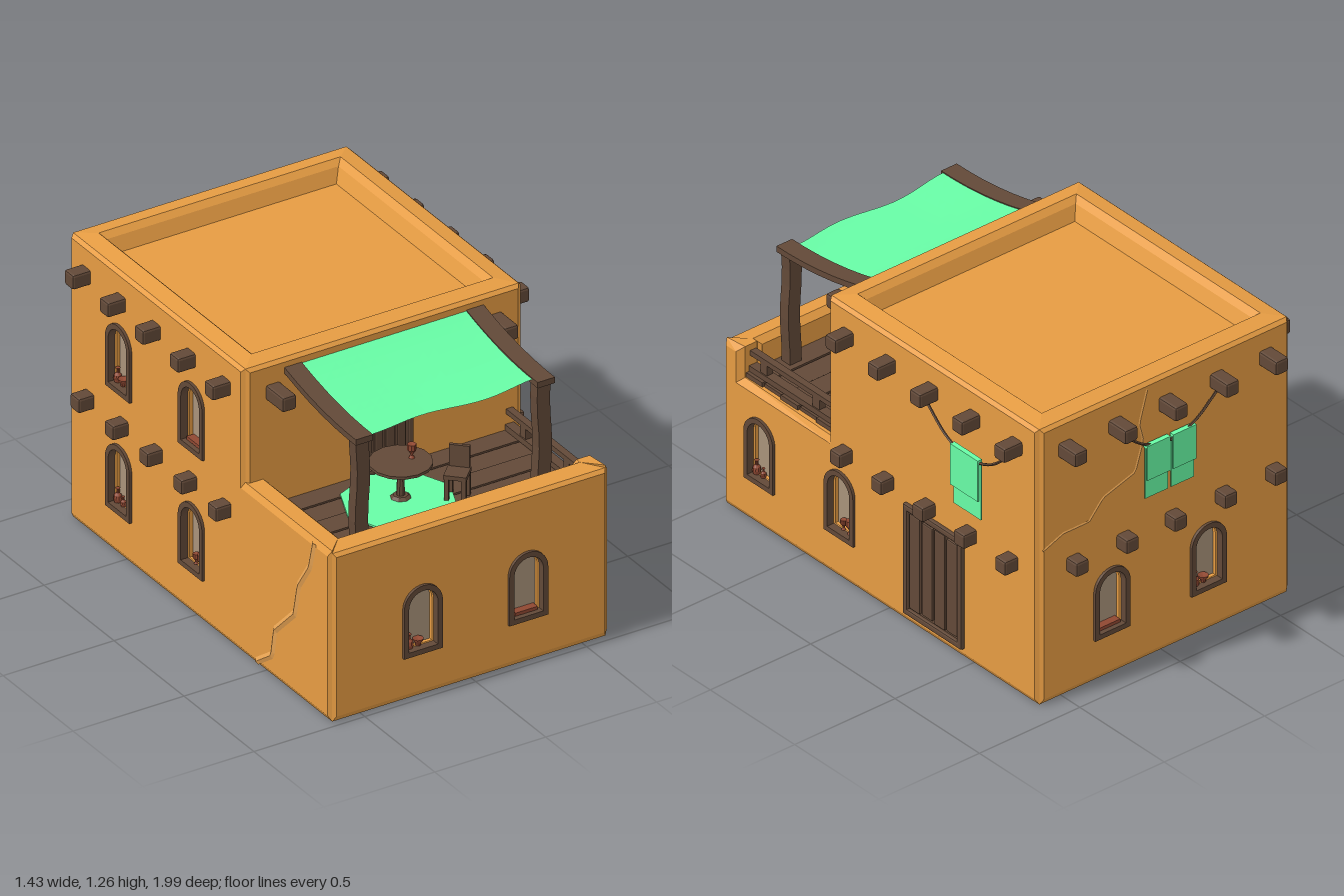
import * as THREE from 'three';
import { RoundedBoxGeometry } from 'three/addons/geometries/RoundedBoxGeometry.js';

const mat = (color, side = THREE.FrontSide) => new THREE.MeshStandardMaterial({ color, side, flatShading: true });
const WALL = mat(0xe69c43), SLOPE = mat(0xe69c43, THREE.BackSide), WOOD = mat(0x624938), CLAY = mat(0x8f4832);
const PANE = mat(0xa8927a), CRACK = mat(0xeba655), CLOTH = mat(0x68fca6, THREE.DoubleSide);
const BEVEL = 0.025, THICK = 0.11, FLOOR = 0.63;

function add(parent, name, geo, material, x = 0, y = 0, z = 0) {
  const m = new THREE.Mesh(geo, material);
  m.name = name;
  m.position.set(x, y, z);
  parent.add(m);
  return m;
}
// box given by its minimum and maximum corners
function block(parent, name, material, a, b) {
  const s = b.map((v, i) => v - a[i]);
  return add(parent, name, new THREE.BoxGeometry(...s), material, ...a.map((v, i) => v + s[i] / 2));
}
const v3 = (p) => new THREE.Vector3(p[0], p[1], p[2] || 0);

// arched outline: centre u, bottom y, top y, half width
function arch(T, u, y0, y1, r) {
  const s = new T();
  s.moveTo(u - r, y0);
  s.lineTo(u + r, y0);
  s.lineTo(u + r, y1 - r);
  s.absarc(u, y1 - r, r, 0, Math.PI, false);
  s.lineTo(u - r, y0);
  return s;
}

// wall slab with chamfered edges and arched openings; outer face at local z = 0
// ends: [u, direction, lowest y] of the upright edges that are mitred against the next wall
function wall(face, name, pts, ends, windows = []) {
  const s = new THREE.Shape(pts.map((p) => new THREE.Vector2(...p)));
  windows.forEach(([u, y]) => s.holes.push(arch(THREE.Path, u, y + 0.025, y + 0.275, 0.06)));
  const geo = new THREE.ExtrudeGeometry(s, {
    depth: THICK - 2 * BEVEL, bevelEnabled: true, bevelSize: BEVEL, bevelThickness: BEVEL,
    bevelOffset: -BEVEL, bevelSegments: 1, curveSegments: 10,
  });
  geo.translate(0, 0, BEVEL - THICK);
  const p = geo.attributes.position, top = Math.max(...pts.map((q) => q[1]));
  for (let i = 0; i < p.count; i++) {
    const u = p.getX(i), y = p.getY(i), z = p.getZ(i);
    const end = ends.find((e) => Math.abs(u - e[0]) < BEVEL + 0.001 && y >= e[2]);
    if (!end || z > -0.001) continue;
    const outer = z > -BEVEL - 0.001, d = outer ? 0.0145 : -z;
    p.setXYZ(i, end[0] - end[1] * d, outer && y > top - 0.001 ? y - 0.011 : y, -d);
  }
  geo.computeVertexNormals();
  add(face, name, geo, WALL);
  windows.forEach(([u, y, kind]) => windowFrame(face, u, y, kind));
}

const profiles = {
  bottle: [[0, 0], [0.014, 0], [0.018, 0.015], [0.015, 0.03], [0.006, 0.04], [0.006, 0.055], [0.01, 0.06], [0, 0.06]],
  bowl: [[0, 0], [0.011, 0], [0.013, 0.012], [0.022, 0.026], [0.022, 0.03], [0, 0.024]],
  goblet: [[0, 0], [0.012, 0], [0.005, 0.012], [0.008, 0.022], [0.018, 0.035], [0.018, 0.06], [0, 0.055]],
};
function pot(parent, kind, x, y, z, scale = 1) {
  const geo = new THREE.LatheGeometry(profiles[kind].map((p) => new THREE.Vector2(...p)), 10);
  add(parent, kind, geo, CLAY, x, y, z).scale.setScalar(scale);
}

function windowFrame(face, u, y, kind) {
  const s = arch(THREE.Shape, u, y, y + 0.3, 0.087);
  s.holes.push(arch(THREE.Path, u, y + 0.022, y + 0.277, 0.065));
  add(face, 'windowFrame', new THREE.ExtrudeGeometry(s, { depth: 0.034, bevelEnabled: false, curveSegments: 10 }),
    WOOD, 0, 0, -0.022);
  const sill = y + 0.025, w = -0.02;
  if (kind === 'tray') block(face, 'tray', CLAY, [u - 0.05, sill, -0.038], [u + 0.05, sill + 0.014, -0.005]);
  else if (kind === 'goblets') {
    pot(face, 'goblet', u - 0.005, sill, w, 0.75);
    pot(face, 'goblet', u + 0.035, sill, w);
  } else {
    pot(face, 'bottle', u - 0.045, sill, w);
    pot(face, kind === 'bottles' ? 'bottle' : 'bowl', u - 0.005, sill, w, kind === 'bottles' ? 0.7 : 1);
  }
}

function beams(face, us, y, out) {
  us.forEach((u) => add(face, 'roofBeam', new RoundedBoxGeometry(0.064, 0.064, out + 0.06, 1, 0.01), WOOD, u, y, (out - 0.06) / 2));
}

function door(face, u, y0, y1, width, planks) {
  const g = new THREE.Group();
  g.name = 'door';
  face.add(g);
  const h = y1 - y0, f = 0.028, step = (width - 2 * f) / planks;
  [-1, 1].forEach((s) => add(g, 'doorJamb', new RoundedBoxGeometry(f, h, 0.036, 1, 0.008), WOOD, u + s * (width - f) / 2, (y0 + y1) / 2, 0));
  [y0 + f / 2, y1 - f / 2].forEach((y) => add(g, 'doorRail', new RoundedBoxGeometry(width, f, 0.036, 1, 0.008), WOOD, u, y, 0));
  block(g, 'doorBacking', WOOD, [u - width / 2 + 0.01, y0 + 0.01, -0.01], [u + width / 2 - 0.01, y1 - 0.01, 0.002]);
  for (let i = 0; i < planks; i++) {
    add(g, 'doorPlank', new RoundedBoxGeometry(step - 0.01, h - 2 * f - 0.012 * (i % 2 + 1), 0.022, 1, 0.006), WOOD,
      u - width / 2 + f + step * (i + 0.5), (y0 + y1) / 2, 0);
  }
}

// rope hung between two beams at distance w from the wall, with folded cloths over it
function clothesline(face, u0, u1, w, cloths) {
  const mid = (u0 + u1) / 2;
  const pts = [0, 0.25, 0.5, 0.75, 1].map((t) => v3([u0 + (u1 - u0) * t, 1.1 - 0.56 * t * (1 - t), w]));
  add(face, 'clothesline', new THREE.TubeGeometry(new THREE.CatmullRomCurve3(pts), 20, 0.006, 5), WOOD);
  cloths.forEach(([du, width, y0]) => {
    const a = mid + du - width / 2, b = mid + du + width / 2;
    block(face, 'clothFront', CLOTH, [a, y0 + 0.09, w + 0.005], [b, 0.98, w + 0.011]);
    block(face, 'clothBack', CLOTH, [a + 0.003, y0, w - 0.011], [b, 0.98, w - 0.005]);
    block(face, 'clothFold', CLOTH, [a, 0.973, w - 0.011], [b, 0.985, w + 0.011]);
  });
}

function crack(face, radius, pts) {
  const path = new THREE.CurvePath();
  for (let i = 1; i < pts.length; i++) path.add(new THREE.LineCurve3(v3(pts[i - 1]), v3(pts[i])));
  add(face, 'wallCrack', new THREE.TubeGeometry(path, 40, radius, 4), CRACK).scale.z = 0.5;
}

const awningY = (z) => 1.13 + 0.07 * Math.pow(1 - (z - 0.36) / 0.5, 2);

function awning(root) {
  const cloth = new THREE.PlaneGeometry(0.78, 0.5, 16, 12).rotateX(-Math.PI / 2);
  const p = cloth.attributes.position;
  for (let i = 0; i < p.count; i++) {
    const x = p.getX(i), s = p.getZ(i) / 0.5 + 0.5, z = 0.36 + 0.5 * s;
    p.setXYZ(i, x - 0.01, awningY(z) + 0.008 - 0.006 * Math.cos(x * 4) * s, z - s * s * 0.015 * (1 + Math.sin(x * 12 + 3)));
  }
  cloth.computeVertexNormals();
  add(root, 'awningCloth', cloth, CLOTH);
  // curved side beams
  const zs = [0.36, 0.45, 0.54, 0.63, 0.72, 0.8, 0.87];
  const side = new THREE.Shape([...zs.map((z) => new THREE.Vector2(-z, awningY(z) + 0.012)),
    ...zs.slice().reverse().map((z) => new THREE.Vector2(-z, awningY(z) - 0.014))]);
  [-0.42, 0.4].forEach((x, k) => {
    const beam = new THREE.ExtrudeGeometry(side, { depth: 0.078, bevelEnabled: false }).rotateY(Math.PI / 2);
    add(root, 'awningBeam', beam, WOOD, x - 0.039);
    // slightly crooked posts
    const post = new THREE.BoxGeometry(0.058, 0.52, 0.05, 1, 7, 1), q = post.attributes.position;
    for (let i = 0; i < q.count; i++) q.setX(i, q.getX(i) + 0.005 * Math.sin(q.getY(i) * 16 + k * 2));
    post.computeVertexNormals();
    add(root, 'awningPost', post, WOOD, x + 0.005, 0.87, 0.825);
  });
}

function terrace(root) {
  for (let i = 0; i < 5; i++) {
    block(root, 'floorPlank', WOOD, [-0.54, 0.59, 0.355 + i * 0.105], [0.59 - (i % 2) * 0.008, FLOOR - (i % 2) * 0.004, 0.455 + i * 0.105]);
  }
  // low railing on the open side
  block(root, 'railing', WOOD, [0.54, 0.7, 0.35], [0.57, 0.722, 0.88]);
  block(root, 'railing', WOOD, [0.535, FLOOR, 0.35], [0.575, 0.655, 0.88]);
  [0.46, 0.77].forEach((z) => block(root, 'railingPost', WOOD, [0.54, FLOOR, z], [0.57, 0.71, z + 0.04]));
  add(root, 'rug', new THREE.CylinderGeometry(0.23, 0.23, 0.008, 8), CLOTH, -0.1, FLOOR + 0.004, 0.61);
  // table
  add(root, 'tableTop', new THREE.CylinderGeometry(0.125, 0.125, 0.012, 14), WOOD, -0.08, 0.79, 0.59);
  add(root, 'tableLeg', new THREE.CylinderGeometry(0.012, 0.018, 0.16, 8), WOOD, -0.08, 0.71, 0.59);
  add(root, 'tableFoot', new THREE.CylinderGeometry(0.03, 0.045, 0.016, 8), WOOD, -0.08, 0.642, 0.59);
  pot(root, 'goblet', -0.03, 0.796, 0.59);
  // chair
  const chair = new THREE.Group();
  chair.name = 'chair';
  chair.position.set(0.106, FLOOR, 0.7);
  chair.rotation.y = Math.PI / 4;
  root.add(chair);
  block(chair, 'chairSeat', WOOD, [-0.045, 0.1, -0.045], [0.045, 0.118, 0.045]);
  block(chair, 'chairBack', WOOD, [0.034, 0.118, -0.04], [0.048, 0.212, 0.04]);
  for (const x of [-0.034, 0.034]) for (const z of [-0.034, 0.034]) {
    block(chair, 'chairLeg', WOOD, [x - 0.009, 0, z - 0.009], [x + 0.009, 0.1, z + 0.009]);
  }
}

export function createModel() {
  const root = new THREE.Group();
  root.name = 'house';
  // one local frame per wall: x along the wall, y up, z outward
  const face = (name, angle, x, z) => {
    const g = new THREE.Group();
    g.name = name;
    g.rotation.y = angle;
    g.position.set(x, 0, z);
    root.add(g);
    return g;
  };
  const front = face('frontSide', 0, 0, 0.98), upper = face('terraceSide', 0, 0, 0.36);
  const right = face('doorSide', Math.PI / 2, 0.62, 0), left = face('plainSide', -Math.PI / 2, -0.64, 0);
  const back = face('backSide', Math.PI, 0, -0.9);

  // solid core, sunken roof and base
  block(root, 'core', PANE, [-0.6, 0.02, -0.86], [0.58, 0.6, 0.94]);
  block(root, 'core', PANE, [-0.6, 0.5, -0.86], [0.58, 1.16, 0.32]);
  block(root, 'roof', WALL, [-0.57, 1.15, -0.83], [0.55, 1.18, 0.29]);
  const slope = new THREE.CylinderGeometry(Math.SQRT1_2, Math.SQRT1_2 * 0.95, 0.06, 4, 1, true).rotateY(Math.PI / 4);
  add(root, 'roofSlope', slope, SLOPE, -0.01, 1.208, -0.27).scale.set(1.04, 1, 1.04);
  block(root, 'base', WALL, [-0.615, 0, -0.875], [0.595, 0.03, 0.955]);

  // walls with their windows
  wall(front, 'frontWall', [[-0.64, 0], [0.62, 0], [0.62, 0.75], [-0.64, 0.75]], [[-0.64, -1, 0], [0.62, 1, 0]],
    [[-0.23, 0.19, 'pots'], [0.245, 0.19, 'tray']]);
  wall(upper, 'terraceWall', [[-0.64, 0.5], [0.62, 0.5], [0.62, 1.26], [-0.64, 1.26]], [[-0.64, -1, 0], [0.62, 1, 0]]);
  wall(back, 'backWall', [[-0.62, 0], [0.64, 0], [0.64, 1.26], [-0.62, 1.26]], [[-0.62, -1, 0], [0.64, 1, 0]],
    [[-0.26, 0.19, 'tray'], [0.22, 0.19, 'pots']]);
  wall(right, 'doorWall', [[-0.98, 0], [0.9, 0], [0.9, 1.26], [-0.36, 1.26], [-0.36, 0.61], [-0.87, 0.61], [-0.87, 0.75], [-0.98, 0.75]],
    [[-0.98, -1, 0], [0.9, 1, 0], [-0.36, -1, 0.55]], [[-0.75, 0.19, 'bottles'], [-0.275, 0.19, 'goblets']]);
  wall(left, 'plainWall', [[-0.9, 0], [0.98, 0], [0.98, 0.75], [0.36, 0.75], [0.36, 1.26], [-0.9, 1.26]],
    [[-0.9, -1, 0], [0.98, 1, 0], [0.36, 1, 0.55]],
    [[-0.53, 0.19, 'bottles'], [-0.01, 0.19, 'goblets'], [-0.53, 0.72, 'pots'], [-0.01, 0.72, 'tray']]);

  // projecting roof and floor beams
  const across = [-0.51, -0.265, -0.01, 0.24, 0.49], along = [-0.77, -0.52, -0.27, -0.02, 0.23];
  const low = [-0.745, -0.5, -0.255, -0.01, 0.235];
  beams(upper, across, 1.125, 0.12);
  beams(back, across.map((x) => -x), 1.125, 0.1);
  beams(back, [-0.45, -0.2, 0.04, 0.29, 0.54], 0.59, 0.06);
  beams(right, along.map((z) => -z), 1.125, 0.09);
  beams(right, low.map((z) => -z), 0.59, 0.065);
  beams(left, along, 1.125, 0.08);
  beams(left, low, 0.59, 0.07);

  door(right, 0.285, 0.045, 0.545, 0.35, 4);
  door(upper, -0.0125, 0.62, 1.035, 0.255, 4);
  clothesline(right, 0.27, 0.78, 0.035, [[-0.015, 0.165, 0.71]]);
  clothesline(back, -0.24, 0.265, 0.02, [[-0.06, 0.115, 0.74], [0.07, 0.115, 0.74]]);
  crack(left, 0.015, [[0.86, 0.74], [0.83, 0.62], [0.75, 0.5], [0.72, 0.36], [0.58, 0.22], [0.56, 0.1], [0.45, 0.02]]);
  crack(back, 0.006, [[-0.6, 0.7], [-0.5, 0.74], [-0.37, 0.74], [-0.3, 0.82], [-0.14, 0.87], [-0.1, 1.0], [-0.12, 1.08], [-0.08, 1.22]]);

  awning(root);
  terrace(root);
  return root;
}
